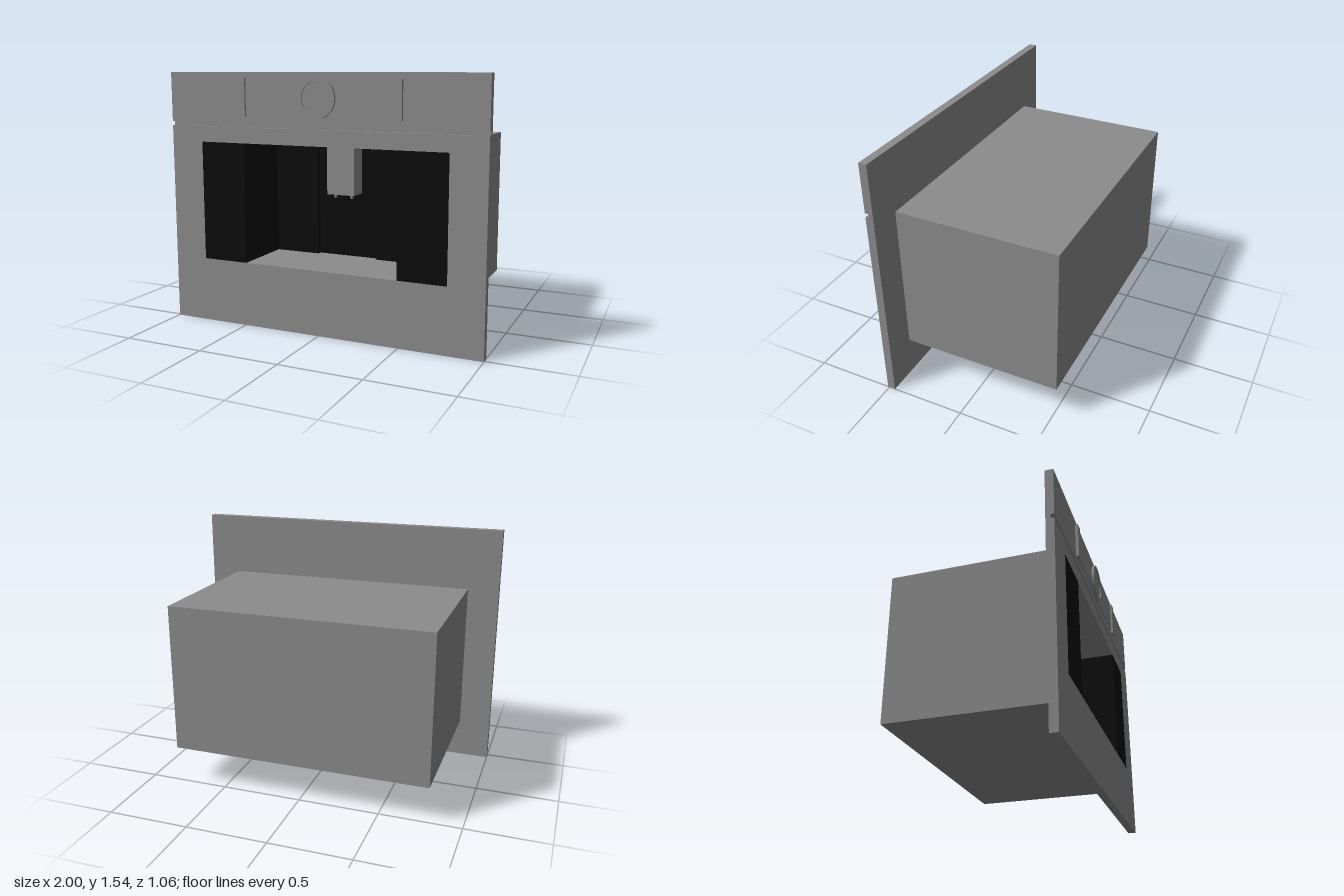
import * as THREE from 'three';

export function createModel() {
  const model = new THREE.Group();
  const steel = new THREE.MeshStandardMaterial({ color: 0x8c8c8c });
  steel.name = 'steel grey';
  const black = new THREE.MeshStandardMaterial({ color: 0x0d0d0d });
  black.name = 'gloss black';

  const add = (name, geometry, material) => {
    const mesh = new THREE.Mesh(geometry, material);
    mesh.name = name;
    model.add(mesh);
    return mesh;
  };
  // Box given by its lower and upper limits on each axis
  const box = (name, material, x0, x1, y0, y1, z0, z1) => {
    const mesh = add(name, new THREE.BoxGeometry(x1 - x0, y1 - y0, z1 - z0), material);
    mesh.position.set((x0 + x1) / 2, (y0 + y1) / 2, (z0 + z1) / 2);
    return mesh;
  };
  const rect = (path, x0, x1, y0, y1) => path
    .moveTo(x0, y0).lineTo(x1, y0).lineTo(x1, y1).lineTo(x0, y1).closePath();

  const back = 0.46, front = 0.51;    // front panel depth
  const low = 0.395, high = 1.125;    // niche height
  const half = 0.49, rear = 0.11;     // niche half width and back wall
  const alcove = 0.2, alcoveRear = 0.08;

  // Housing, open at the front where the niche enters it
  const housing = box('housing', steel, -0.805, 0.805, 0.24, 1.16, -0.53, back);
  const index = Array.from(housing.geometry.index.array);
  index.splice(24, 6);
  housing.geometry.setIndex(index);
  housing.geometry.clearGroups();

  // Front panel: lower door with opening, shadow groove, upper fascia
  const door = new THREE.Shape();
  rect(door, -1, 1, 0, 1.22);
  const opening = new THREE.Path();
  rect(opening, -0.785, 0.785, low, high);
  door.holes.push(opening);
  add('door', new THREE.ExtrudeGeometry(door, { depth: front - back, bevelEnabled: false }), steel)
    .position.z = back;
  box('groove', steel, -1, 1, 1.22, 1.245, back, front - 0.02);
  box('fascia', steel, -1, 1, 1.245, 1.545, back, front);

  // Niche floor and ceiling
  box('nicheFloor', steel, -half, half, low - 0.008, low, alcoveRear, back);
  box('nicheCeiling', steel, -half, half, high, high + 0.008, alcoveRear, back);

  // Black glass beside the niche, its side walls and stepped back wall
  for (const [side, s] of [['left', 1], ['right', -1]]) {
    const pair = (name, a, b, z0, z1) =>
      box(side + name, black, Math.min(a * s, b * s), Math.max(a * s, b * s), low, high, z0, z1);
    pair('GlassPanel', half, 0.785, back, front);
    pair('NicheWall', half, half + 0.008, rear, back);
    pair('BackWall', alcove, half, alcoveRear, rear);
  }
  box('alcoveBack', black, -alcove, alcove, low, high, alcoveRear - 0.008, alcoveRear);

  // Dispenser head with outlets underneath
  box('dispenser', steel, -0.09, 0.09, 0.8, high, alcoveRear, 0.2);
  const spout = (name, material, x, radius, bottom) =>
    add(name, new THREE.CylinderGeometry(radius, radius, 0.8 - bottom, 20), material)
      .position.set(x, (0.8 + bottom) / 2, 0.15);
  for (const s of [-1, 1]) {
    spout('outerOutlet', steel, s * 0.055, 0.009, 0.775);
    spout('innerOutlet', black, s * 0.022, 0.01, 0.765);
  }
  spout('centreOutlet', black, 0, 0.008, 0.745);

  // Control strip between two end blocks
  box('controlStrip', steel, -0.465, 0.465, 1.3, 1.5, front, front + 0.006);
  for (const s of [-1, 1]) {
    box('stripEnd', steel, s * 0.4925 - 0.0275, s * 0.4925 + 0.0275, 1.285, 1.51, front, front + 0.018);
  }

  // Round dial: raised ring around a recessed face
  const ring = new THREE.Shape().absarc(0, 0, 0.12, 0, Math.PI * 2);
  ring.holes.push(new THREE.Path().absarc(0, 0, 0.09, 0, Math.PI * 2, true));
  add('dialRing', new THREE.ExtrudeGeometry(ring, { depth: 0.02, bevelEnabled: false, curveSegments: 48 }), steel)
    .position.set(0, 1.4, front);
  const face = add('dialFace', new THREE.CylinderGeometry(0.09, 0.09, 0.012, 48), steel);
  face.rotation.x = Math.PI / 2;
  face.position.set(0, 1.4, front + 0.006);

  return model;
}
